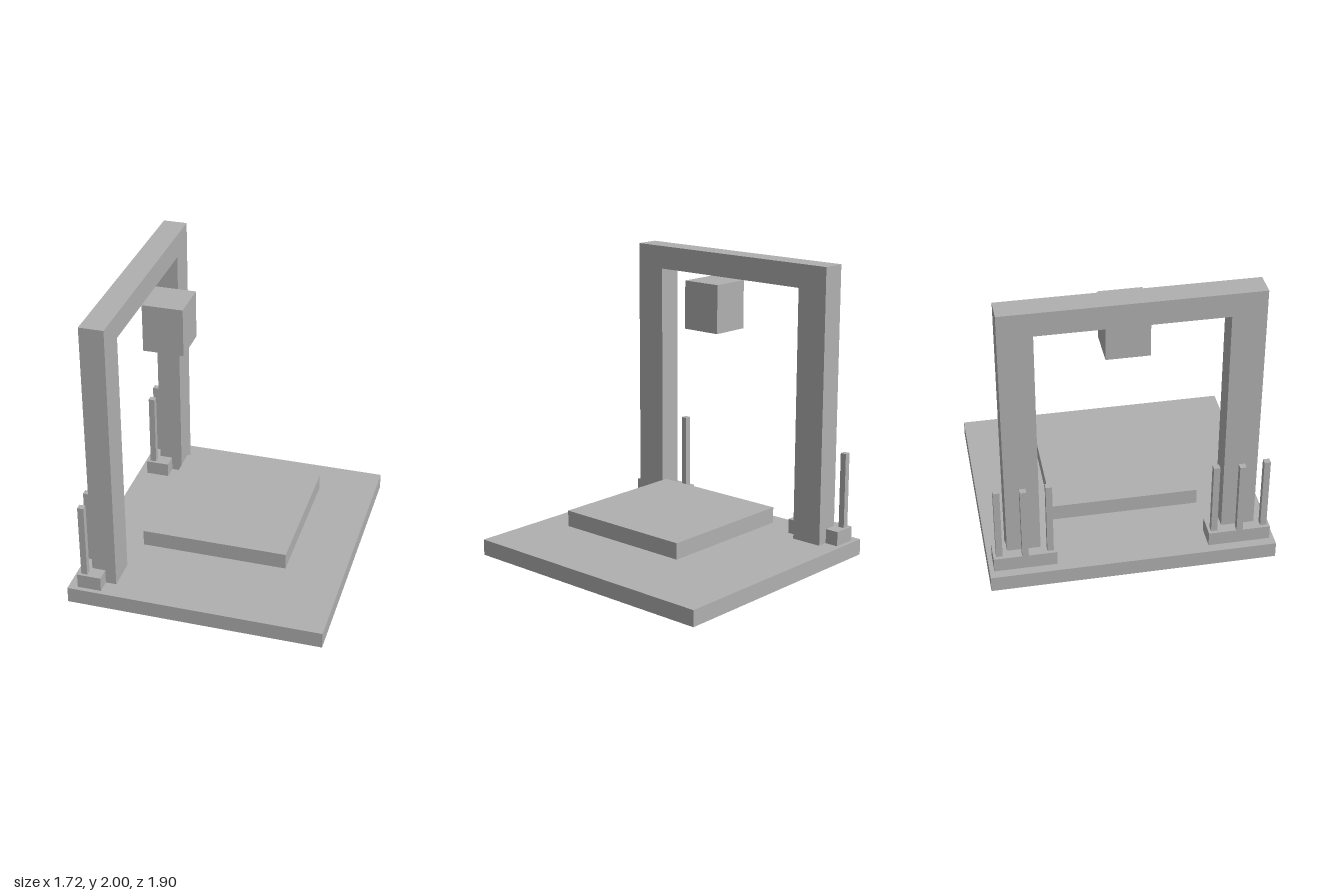
import * as THREE from 'three';

export function createModel() {
  const model = new THREE.Group();
  model.name = 'gantryMachine';

  const grey = new THREE.MeshStandardMaterial({ color: 0xb0b0b0 });
  grey.name = 'grey';

  // Box given by its minimum and maximum on each axis
  function box(name, [x0, x1], [y0, y1], [z0, z1], parent = model) {
    const mesh = new THREE.Mesh(new THREE.BoxGeometry(x1 - x0, y1 - y0, z1 - z0), grey);
    mesh.name = name;
    mesh.position.set((x0 + x1) / 2, (y0 + y1) / 2, (z0 + z1) / 2);
    parent.add(mesh);
  }

  // Base slab, raised bed and tool head
  box('base', [-0.862, 0.862], [0, 0.11], [-0.95, 0.95]);
  box('bed', [-0.482, 0.502], [0.22, 0.33], [-0.492, 0.492]);
  box('toolHead', [-0.565, -0.29], [1.51, 1.84], [-0.142, 0.142]);

  // Arch in one piece: outline in (z, y), extruded along x
  const arch = new THREE.Shape([
    [-0.824, 0.11], [-0.604, 0.11], [-0.604, 1.84], [0.604, 1.84],
    [0.604, 0.11], [0.824, 0.11], [0.824, 2], [-0.824, 2],
  ].map(([z, y]) => new THREE.Vector2(z, y)));
  const archGeometry = new THREE.ExtrudeGeometry(arch, { depth: 0.163, bevelEnabled: false });
  archGeometry.rotateY(-Math.PI / 2);
  const gantry = new THREE.Mesh(archGeometry, grey);
  gantry.name = 'gantryArch';
  gantry.position.x = -0.565;
  model.add(gantry);

  // Foot block with three upright rods at each post
  for (const side of [-1, 1]) {
    const foot = new THREE.Group();
    foot.name = side > 0 ? 'frontFoot' : 'rearFoot';
    foot.position.z = side * 0.712;
    model.add(foot);
    box('footBlock', [-0.8, -0.638], [0.11, 0.21], [-0.207, 0.207], foot);
    for (const [x, z] of [[-0.756, -0.167], [-0.779, 0], [-0.756, 0.167]]) {
      box('rod', [x - 0.021, x + 0.021], [0.21, 0.73], [z - 0.021, z + 0.021], foot);
    }
  }

  return model;
}
